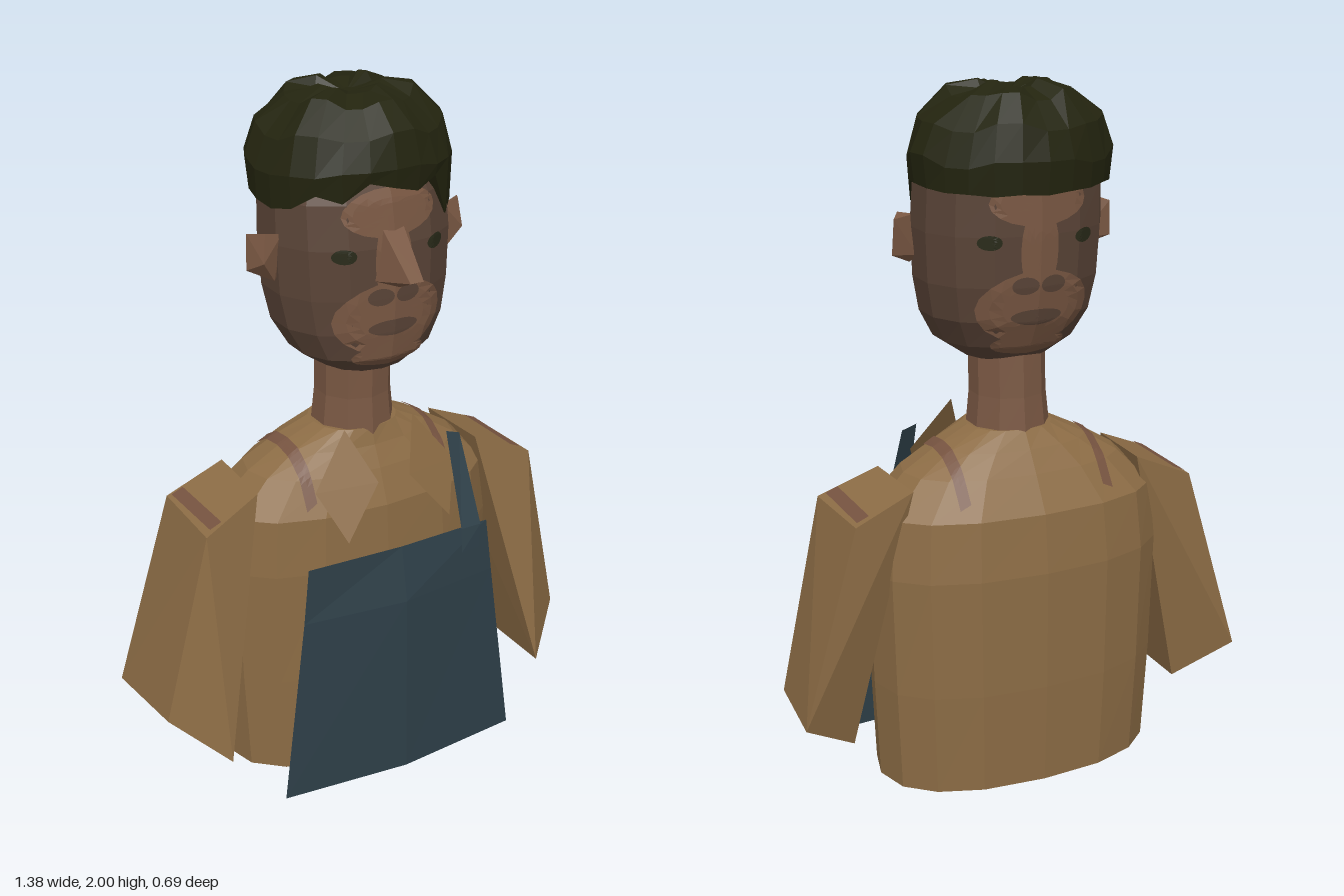
import * as THREE from 'three';
import { ConvexGeometry } from 'three/addons/geometries/ConvexGeometry.js';

const mat = (name, color, side = THREE.FrontSide) => {
  const m = new THREE.MeshStandardMaterial({ color, side });
  m.name = name;
  return m;
};

const flat = (geo) => {
  const g = geo.index ? geo.toNonIndexed() : geo;
  g.computeVertexNormals();
  return g;
};

const fromVerts = (pos, idx) => {
  const g = new THREE.BufferGeometry();
  g.setAttribute('position', new THREE.Float32BufferAttribute(pos, 3));
  g.setIndex(idx);
  return flat(g);
};

// Stacked oval rings [y, halfWidth, halfDepth, centreZ], capped at both ends.
// edit(ring, segment, point) may nudge single points.
function loft(levels, n, power = 1, edit = () => {}) {
  const pos = [], idx = [];
  const sp = (v) => Math.sign(v) * Math.abs(v) ** power;
  levels.forEach(([y, hu, hw, cw], i) => {
    for (let j = 0; j < n; j++) {
      const a = (j / n) * Math.PI * 2;
      const p = new THREE.Vector3(hu * sp(Math.sin(a)), y, cw + hw * sp(Math.cos(a)));
      edit(i, j, p);
      pos.push(p.x, p.y, p.z);
    }
  });
  const last = levels.length - 1, c = levels.length * n;
  pos.push(0, levels[0][0], levels[0][3], 0, levels[last][0], levels[last][3]);
  for (let j = 0; j < n; j++) {
    const k = (j + 1) % n;
    for (let i = 0; i < last; i++) {
      const a = i * n + j, b = i * n + k;
      idx.push(a, b, b + n, a, b + n, a + n);
    }
    idx.push(c, k, j, c + 1, last * n + j, last * n + k);
  }
  return fromVerts(pos, idx);
}

// Open sheet from rows of points
function sheet(rows) {
  const n = rows[0].length, idx = [];
  for (let i = 0; i < rows.length - 1; i++)
    for (let j = 0; j < n - 1; j++) {
      const a = i * n + j;
      idx.push(a, a + 1, a + n + 1, a, a + n + 1, a + n);
    }
  return fromVerts(rows.flat(2), idx);
}

const hull = (pts) => new ConvexGeometry(pts.map((p) => new THREE.Vector3(...p)));

// Paint patch: drops a flat geometry onto a mesh from front, back or top
function decal(target, geo, from, cx, cy, lift = 0.004) {
  const ray = new THREE.Raycaster();
  const p = geo.attributes.position;
  const dir = { front: [0, 0, -1], back: [0, 0, 1], top: [0, -1, 0] }[from];
  const d = new THREE.Vector3(...dir);
  let lastHit = null;
  for (let i = 0; i < p.count; i++) {
    const x = p.getX(i), y = p.getY(i);
    const o = from === 'top' ? new THREE.Vector3(cx + x, 3, cy - y)
      : from === 'front' ? new THREE.Vector3(cx + x, cy + y, 3)
      : new THREE.Vector3(cx - x, cy + y, -3);
    ray.set(o, d);
    const hit = ray.intersectObject(target)[0];
    if (hit) lastHit = hit.point.clone().addScaledVector(hit.face.normal, lift);
    if (lastHit) p.setXYZ(i, lastHit.x, lastHit.y, lastHit.z);
  }
  return flat(geo);
}
const oval = (rx, ry) => new THREE.RingGeometry(0.001, 1, 20, 5).scale(rx, ry, 1);

export function createModel() {
  const cloth = mat('tan cloth', 0x8c6c45);
  const collarCloth = mat('tan collar cloth', 0x8a6a43, THREE.DoubleSide);
  const apronBlue = mat('apron blue', 0x2e3f48, THREE.DoubleSide);
  const skin = mat('skin', 0x7a5843);
  const darkSkin = mat('dark skin', 0x5a4437);
  const hairMat = mat('hair', 0x23240f);
  const eyeMat = mat('eye', 0x2a2b1a);
  const bandMat = mat('faded band', 0x765340);

  const model = new THREE.Group();
  model.name = 'bust';
  // The whole figure is turned slightly to its right
  const body = new THREE.Group();
  body.name = 'figure';
  body.position.x = -0.025;
  body.rotation.y = -0.235;
  model.add(body);
  const add = (name, geo, m) => {
    const mesh = new THREE.Mesh(geo, m);
    mesh.name = name;
    body.add(mesh);
    return mesh;
  };

  // Torso
  const torso = new THREE.Mesh(loft([
    [0, 0.42, 0.235, -0.045], [0.3, 0.435, 0.24, -0.05], [0.65, 0.445, 0.24, -0.05],
    [0.82, 0.43, 0.225, -0.045], [0.92, 0.33, 0.175, -0.035],
    [0.98, 0.23, 0.14, -0.03], [1.03, 0.125, 0.115, -0.02],
  ], 16, 0.85), cloth);
  torso.name = 'torso';

  // Sleeves, collar and shoulder bands, mirrored
  for (const s of [1, -1]) {
    const side = s > 0 ? 'left' : 'right';
    const sleeve = new THREE.Mesh(hull([
      [0.523, 0.83, -0.168], [0.533, 0.83, 0.114], [0.69, 0.26, -0.185], [0.665, 0.26, 0.088],
      [0.526, 0.15, 0.213], [0.523, 0.15, -0.109], [0.36, 0.905, 0.083], [0.35, 0.905, -0.16],
    ].map(([x, y, z]) => [s * x, y, z])), cloth);
    sleeve.name = side + 'Sleeve';
    add(side + 'SleeveBand', decal(sleeve, new THREE.PlaneGeometry(0.035, 0.25, 2, 4), 'top', s * 0.495, -0.028), bandMat);
    add(side + 'ShoulderBand', decal(torso, new THREE.PlaneGeometry(0.032, 0.36, 2, 40), 'top', s * 0.22, -0.04), bandMat);
    body.add(sleeve);
    add(side + 'Collar', sheet([
      [[s * 0.05, 0.92, 0.215], [s * 0.165, 0.775, 0.25]],
      [[s * 0.11, 1.06, 0.13], [s * 0.225, 0.91, 0.17]],
    ]), collarCloth);
  }
  body.add(torso);

  // Apron bib and its single strap
  add('apron', sheet([
    [0, 0.385, 0.263, 0.3], [0.56, 0.312, 0.255, 0.292], [0.725, 0.293, 0.25, 0.262],
  ].map(([y, hw, edge, mid]) => [[-hw, y, edge], [0, y, mid], [hw, y, edge]])), apronBlue);
  add('apronStrap', sheet([
    [[0.195, 0.655, 0.275], [0.258, 0.655, 0.268]],
    [[0.2, 0.725, 0.262], [0.265, 0.725, 0.262]],
    [[0.21, 0.99, 0.155], [0.255, 0.975, 0.155]],
  ]), apronBlue);

  // Neck
  add('neck', loft([[1.0, 0.122, 0.122, -0.02], [1.12, 0.11, 0.112, -0.018], [1.28, 0.11, 0.11, -0.012]], 10), skin);

  // Head
  const head = new THREE.Mesh(loft([
    [1.23, 0.125, 0.13, 0.02], [1.28, 0.2, 0.178, 0.016], [1.36, 0.245, 0.205, 0.002],
    [1.46, 0.265, 0.216, -0.006], [1.6, 0.272, 0.22, -0.01], [1.72, 0.268, 0.21, -0.018],
    [1.84, 0.22, 0.175, -0.03], [1.92, 0.1, 0.08, -0.03],
  ], 14, 0.92), darkSkin);
  head.name = 'head';

  // Painted face tones, repeated front and back
  for (const from of ['front', 'back']) {
    const paint = (name, x, y, rx, ry, m, lift) => add(name + ' ' + from, decal(head, oval(rx, ry), from, x, y, lift), m);
    paint('foreheadTone', 0, 1.69, 0.14, 0.065, skin, 0.003);
    paint('bridgeTone', 0, 1.56, 0.055, 0.13, skin, 0.0035);
    paint('muzzleTone', 0, 1.4, 0.165, 0.105, skin, 0.004);
    paint('chinTone', 0, 1.29, 0.11, 0.035, skin, 0.003);
    paint('lips', 0, 1.375, 0.075, 0.022, darkSkin, 0.007);
    for (const s of [1, -1]) {
      paint('noseShadow', s * 0.04, 1.465, 0.038, 0.024, darkSkin, 0.007);
      paint('eye', s * 0.137, 1.587, 0.03, 0.02, eyeMat, 0.006);
    }
  }
  body.add(head);

  // Nose and ears
  add('nose', hull([
    [-0.032, 1.65, 0.2], [0.032, 1.65, 0.2], [-0.055, 1.51, 0.2], [0.055, 1.51, 0.2],
    [0, 1.495, 0.235], [-0.02, 1.535, 0.322], [0.02, 1.535, 0.322],
  ]), skin);
  for (const s of [1, -1])
    add(s > 0 ? 'leftEar' : 'rightEar', hull([
      [0.25, 1.63, 0.05], [0.25, 1.52, 0.03], [0.27, 1.5, 0.04], [0.33, 1.63, 0.0],
      [0.335, 1.53, 0.005], [0.3, 1.64, 0.05], [0.31, 1.56, 0.06],
    ].map(([x, y, z]) => [s * x, y, z])), skin);

  // Hair cap with ragged hairline and a lumpy crown
  const hairline = [1.76, 1.74, 1.765, 1.64, 1.66, 1.73, 1.73, 1.725, 1.72, 1.72, 1.715, 1.72,
    1.715, 1.72, 1.72, 1.725, 1.72, 1.72, 1.71, 1.7, 1.71, 1.75, 1.73, 1.78];
  add('hair', loft([
    [1.72, 0.282, 0.243, -0.03], [1.8, 0.288, 0.25, -0.03], [1.89, 0.256, 0.23, -0.032],
    [1.965, 0.175, 0.16, -0.035], [1.985, 0.09, 0.08, -0.035], [1.965, 0.02, 0.02, -0.035],
  ], 24, 1, (i, j, p) => {
    if (i === 0) p.y = hairline[j];
    else if (i < 5) {
      const w = Math.sin(Math.floor(j / 2) * 2.4 + i);
      p.y += 0.014 * w;
      p.x *= 1 + 0.015 * w;
    }
  }), hairMat);

  return model;
}
